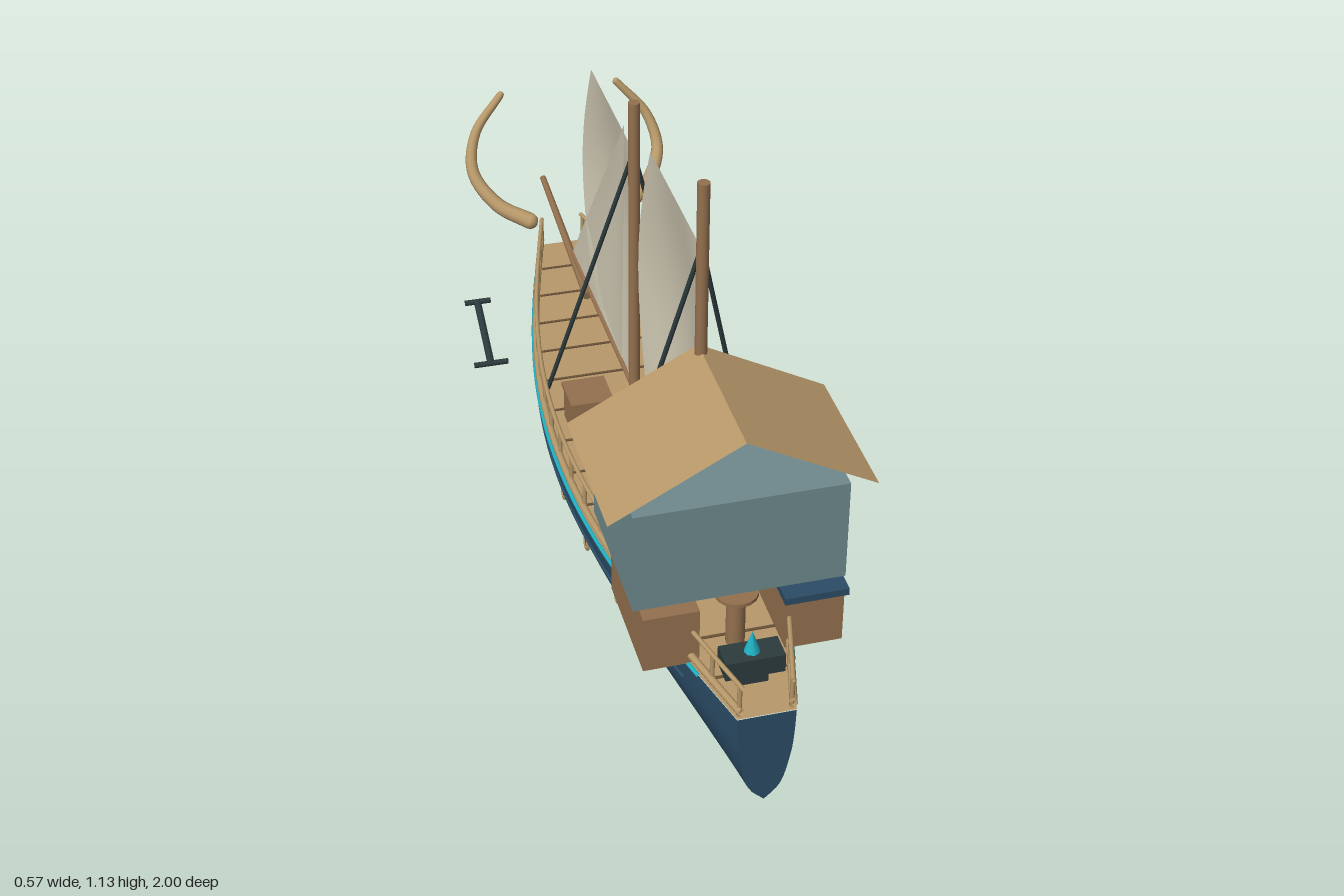
import * as THREE from 'three';

const mat = (name, color, side = THREE.FrontSide) => {
  const m = new THREE.MeshStandardMaterial({ color, side });
  m.name = name;
  return m;
};
const V = (x, y, z) => new THREE.Vector3(x, y, z);

export function createModel() {
  const root = new THREE.Group();
  root.name = 'sailingShip';
  const navy = mat('navy hull', 0x2b4c66);
  const tan = mat('tan wood', 0xb8996a, THREE.DoubleSide);
  const brown = mat('brown wood', 0x94714f);
  const teal = mat('grey teal wall', 0x6f8a8d);
  const cyan = mat('cyan glow', 0x20b2c4);
  const iron = mat('dark iron', 0x2c3b3d);
  const canvas = mat('sail canvas', 0xd3ccb6, THREE.DoubleSide);
  const seam = mat('plank seam', 0x6b5238);

  const add = (name, geo, material, x = 0, y = 0, z = 0) => {
    const m = new THREE.Mesh(geo, material);
    m.name = name;
    m.position.set(x, y, z);
    root.add(m);
    return m;
  };
  const box = (name, material, w, h, d, x, y, z) =>
    add(name, new THREE.BoxGeometry(w, h, d), material, x, y, z);
  // Round bar between two points
  const bar = (name, material, a, b, r, r2 = r, sides = 8) => {
    const m = add(name, new THREE.CylinderGeometry(r2, r, a.distanceTo(b), sides), material);
    m.position.copy(a).add(b).multiplyScalar(0.5);
    m.quaternion.setFromUnitVectors(V(0, 1, 0), b.clone().sub(a).normalize());
    return m;
  };

  // Hull plan: half width along the length
  const Z0 = -0.785, Z1 = 1, N = 40;
  const half = z => 0.06 + 0.155 * Math.sin(Math.PI * (z - Z0) / (Z1 - Z0));
  const alongHull = (scale, offset, y, a, b) => {
    const pts = [];
    for (let i = 0; i <= 24; i++) {
      const z = a + (b - a) * i / 24;
      pts.push(V(half(z) * scale + offset, y, z));
    }
    return pts;
  };

  // Hull cross-section, as a fraction of half width, swept along the length
  const side = new THREE.SplineCurve([[1, 0.225], [0.965, 0.17], [0.87, 0.115], [0.56, 0.04], [0, 0.002]]
    .map(p => new THREE.Vector2(...p))).getPoints(16);
  const section = [...side, ...side.slice(0, -1).reverse().map(p => new THREE.Vector2(-p.x, p.y))];
  const pos = [], idx = [], S = section.length;
  for (let i = 0; i <= N; i++) {
    const z = Z0 + (Z1 - Z0) * i / N;
    section.forEach((p, j) => {
      pos.push(p.x * half(z), p.y, z);
      if (i < N && j < S - 1) {
        const a = i * S + j, b = a + 1, c = a + S, d = c + 1;
        idx.push(a, c, b, b, c, d);
      }
    });
  }
  const hull = new THREE.BufferGeometry();
  hull.setAttribute('position', new THREE.Float32BufferAttribute(pos, 3));
  hull.setIndex(idx);
  hull.computeVertexNormals();
  add('hull', hull, navy);
  const end = new THREE.ShapeGeometry(new THREE.Shape(section.map(p => new THREE.Vector2(p.x * 0.06, p.y))));
  add('transom', end, navy, 0, 0, Z1);
  add('stem', end, navy, 0, 0, Z0).rotation.y = Math.PI;

  // Deck with plank seams
  const edge = alongHull(1, 0, 0, Z0, Z1);
  const plan = [...edge.map(p => new THREE.Vector2(p.x, -p.z)),
    ...edge.slice().reverse().map(p => new THREE.Vector2(-p.x, -p.z))];
  add('deck', new THREE.ShapeGeometry(new THREE.Shape(plan)), tan, 0, 0.227, 0).rotation.x = -Math.PI / 2;
  for (let z = -0.67; z < 0.95; z += 0.119)
    box('plankSeam', seam, half(z) * 2 - 0.03, 0.003, 0.006, 0, 0.228, z);

  // Paired fittings on both sides
  for (const s of [1, -1]) {
    const tube = (name, pts, r, material, seg = 48) => add(name, new THREE.TubeGeometry(
      new THREE.CatmullRomCurve3(pts.map(p => V(p.x * s, p.y, p.z))), seg, r, 8), material);
    tube('lowerRail', alongHull(1, -0.007, 0.243, Z0, Z1), 0.008, tan);
    tube('upperRail', alongHull(1, -0.01, 0.303, Z0, Z1), 0.005, tan);
    tube('trimStripe', alongHull(1, -0.001, 0.223, -0.64, 0.86), 0.005, cyan);
    tube('wale', alongHull(0.965, 0, 0.17, -0.64, 0.8), 0.005, navy);
    for (let i = 0; i <= 18; i++) {
      const z = Z0 + 0.01 + i * 0.098, x = s * (half(z) - 0.01);
      bar('railPost', tan, V(x, 0.225, z), V(x, 0.303, z), 0.005, 0.005, 6);
    }
    for (let i = 0; i < 8; i++) {
      const z = 0.67 - i * 0.187, x = s * (half(z) * 0.915 + 0.003);
      add('portholeRing', new THREE.TorusGeometry(0.014, 0.004, 6, 16), tan, x, 0.135, z).rotation.y = s * Math.PI / 2;
      add('portholeGlass', new THREE.CircleGeometry(0.013, 16), iron, x + s * 0.001, 0.135, z).rotation.y = s * Math.PI / 2;
    }
    for (const z of [-0.008, 0.205]) {
      box('crate', brown, 0.09, 0.083, 0.09, s * 0.115, 0.268, z);
      box('crateLid', brown, 0.098, 0.01, 0.098, s * 0.115, 0.313, z);
    }
    // Shrouds
    bar('aftShroud', iron, V(0, 0.985, 0.495), V(s * 0.172, 0.235, 0.38), 0.005);
    bar('foreShroud', iron, V(0, 0.9, -0.04), V(s * 0.175, 0.235, -0.155), 0.005);
    // Anchors
    const top = V(s * 0.245, 0.163, -0.662), low = V(s * 0.245, 0.083, -0.503);
    bar('anchorShank', iron, top, low, 0.009);
    bar('anchorStock', iron, V(s * 0.212, 0.163, -0.662), V(s * 0.276, 0.163, -0.662), 0.007);
    bar('anchorArm', iron, V(s * 0.202, 0.083, -0.503), V(s * 0.286, 0.083, -0.503), 0.007);
    // Tapered bow tusk
    const path = new THREE.CatmullRomCurve3([[0.115, 0.41, -0.61], [0.185, 0.44, -0.655], [0.232, 0.505, -0.715],
      [0.215, 0.585, -0.76], [0.145, 0.67, -0.785]].map(p => V(p[0] * s, p[1], p[2])));
    const tusk = new THREE.TubeGeometry(path, 32, 0.02, 10), p = tusk.attributes.position;
    for (let i = 0; i < p.count; i++) {
      const t = Math.floor(i / 11) / 32, c = path.getPointAt(t);
      const v = V(0, 0, 0).fromBufferAttribute(p, i).sub(c).multiplyScalar(1 - 0.55 * t).add(c);
      p.setXYZ(i, v.x, v.y, v.z);
    }
    add('tusk', tusk, tan);
    add('tuskBase', new THREE.SphereGeometry(0.02, 10, 8), tan, s * 0.115, 0.41, -0.61);
    add('tuskTip', new THREE.SphereGeometry(0.009, 8, 6), tan, s * 0.145, 0.67, -0.785);
    // Roof slope
    const slope = new THREE.PlaneGeometry(Math.hypot(0.27, 0.145), 0.34);
    slope.rotateX(-Math.PI / 2).rotateZ(-s * Math.atan2(0.145, 0.27));
    add('roofSlope', slope, tan, s * 0.135, 0.6725, 0.648);
  }

  // Raised cabin on two deck houses
  box('cabin', teal, 0.435, 0.23, 0.32, 0, 0.485, 0.645);
  box('leftHouse', brown, 0.12, 0.13, 0.26, 0.15, 0.29, 0.695);
  box('leftHouseCap', navy, 0.132, 0.016, 0.295, 0.147, 0.362, 0.697);
  box('rightHouse', brown, 0.115, 0.13, 0.26, -0.143, 0.29, 0.69);

  // Capstan and stern brazier
  bar('capstan', brown, V(0, 0.225, 0.78), V(0, 0.35, 0.78), 0.02, 0.02, 12);
  bar('capstanHead', brown, V(0, 0.35, 0.78), V(0, 0.358, 0.78), 0.045, 0.045, 16);
  box('brazierFoot', iron, 0.06, 0.03, 0.035, 0, 0.241, 0.892);
  box('brazier', iron, 0.122, 0.042, 0.057, 0, 0.276, 0.892);
  add('flame', new THREE.ConeGeometry(0.017, 0.05, 8), cyan, 0, 0.321, 0.892);

  // Masts, boom and bowsprit
  bar('aftMast', brown, V(0, 0.225, 0.5), V(0, 1.13, 0.5), 0.013, 0.013, 12);
  bar('foreMast', brown, V(0, 0.225, -0.035), V(0, 1.022, -0.035), 0.013, 0.013, 12);
  bar('foreBoom', brown, V(0, 0.285, -0.04), V(0, 0.275, -0.65), 0.007);
  bar('bowsprit', brown, V(0, 0.243, -0.5), V(0, 0.296, -0.999), 0.011, 0.008);

  // Sails: billowing grids with a rounded free edge
  const sail = (name, luff, leech, y0, y1) => {
    const g = new THREE.PlaneGeometry(1, 1, 12, 12), p = g.attributes.position;
    for (let i = 0; i < p.count; i++) {
      const u = p.getX(i) + 0.5, v = p.getY(i) + 0.5, bow = Math.sin(Math.PI * v);
      p.setXYZ(i, 0.037 * Math.sin(Math.PI * u) * bow, y0 + (y1 - y0) * v,
        luff + (leech - 0.1 * bow - luff) * u);
    }
    g.computeVertexNormals();
    add(name, g, canvas);
  };
  sail('aftSail', 0.49, 0.1, 0.295, 0.977);
  sail('foreSail', -0.045, -0.43, 0.295, 0.9);

  // Jib: triangle narrowing to the peak
  const jib = new THREE.PlaneGeometry(1, 1, 8, 12), jp = jib.attributes.position;
  for (let i = 0; i < jp.count; i++) {
    const u = jp.getX(i) + 0.5, v = jp.getY(i) + 0.5;
    const tack = -0.15 - 0.51 * u;
    jp.setXYZ(i, 0.012 * Math.sin(Math.PI * u) * Math.sin(Math.PI * v), 0.272 + 0.65 * v, tack + (-0.122 - tack) * v);
  }
  jib.computeVertexNormals();
  add('jib', jib, canvas);

  return root;
}
